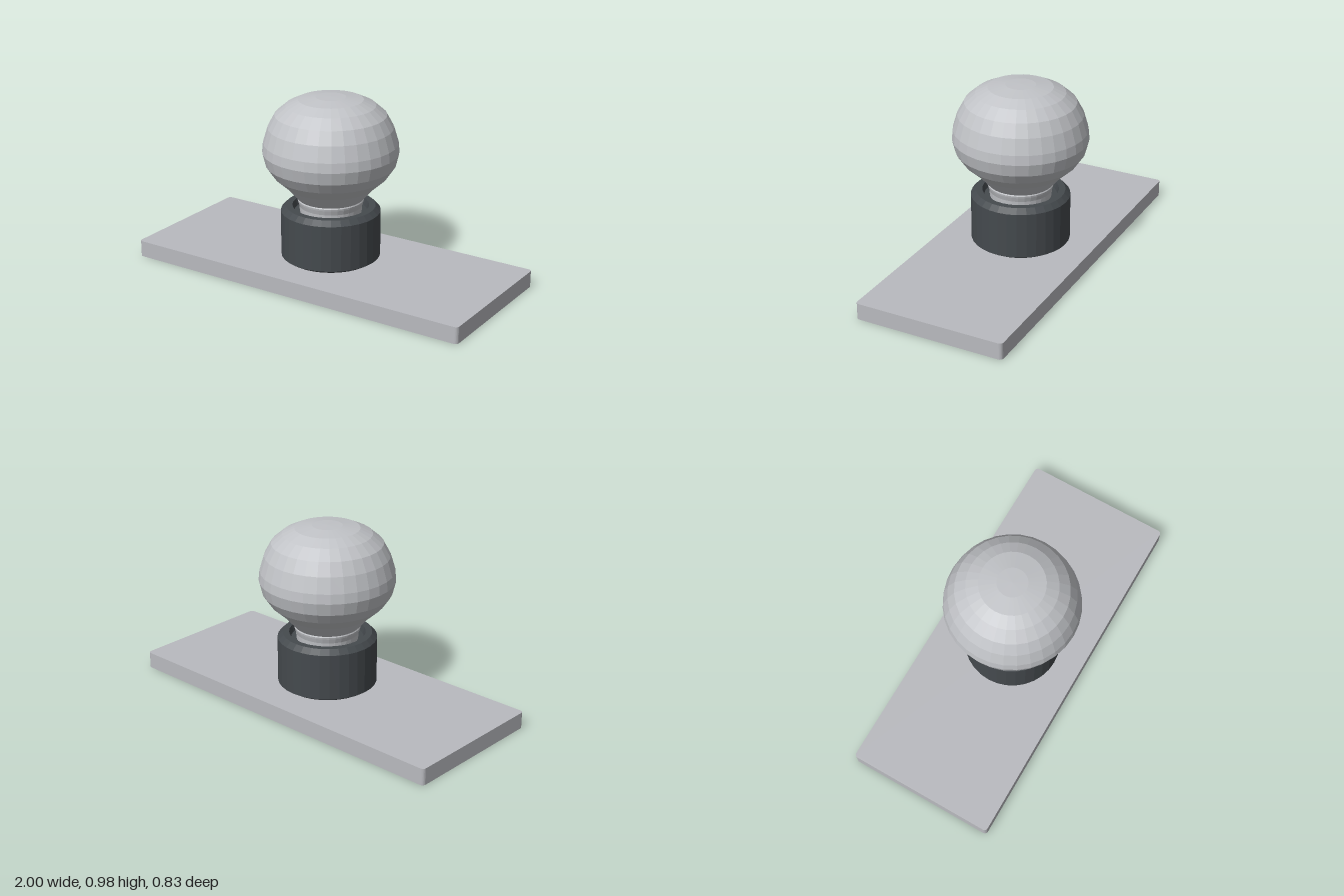
import * as THREE from 'three';

const mat = (name, color) => {
  const m = new THREE.MeshStandardMaterial({ color });
  m.name = name;
  return m;
};

// Faceted solid of revolution from [radius, height] pairs, listed bottom to top
function turned(name, profile, material, segments) {
  const points = profile.map(([r, y]) => new THREE.Vector2(r, y));
  const lathe = new THREE.LatheGeometry(points, segments);
  const geometry = lathe.toNonIndexed();
  geometry.computeVertexNormals();
  const mesh = new THREE.Mesh(geometry, material);
  mesh.name = name;
  return mesh;
}

export function createModel() {
  const group = new THREE.Group();
  group.name = 'knobOnPlate';
  const plateGrey = mat('plate grey', 0xb9babf);
  const knobGrey = mat('knob silver', 0xc1c3c7);
  const collarGrey = mat('collar charcoal', 0x454a4e);

  // Base plate with small rounded vertical corners
  const w = 1, d = 0.413, r = 0.02, h = 0.09;
  const outline = new THREE.Shape();
  outline.moveTo(-w + r, -d);
  outline.lineTo(w - r, -d);
  outline.absarc(w - r, -d + r, r, -Math.PI / 2, 0);
  outline.absarc(w - r, d - r, r, 0, Math.PI / 2);
  outline.absarc(-w + r, d - r, r, Math.PI / 2, Math.PI);
  outline.absarc(-w + r, -d + r, r, Math.PI, Math.PI * 1.5);
  const plateGeometry = new THREE.ExtrudeGeometry(outline, { depth: h, bevelEnabled: false, curveSegments: 4 });
  plateGeometry.rotateX(-Math.PI / 2);
  const plate = new THREE.Mesh(plateGeometry, plateGrey);
  plate.name = 'basePlate';
  group.add(plate);

  // Chamfered collar with a shallow recess around the neck
  group.add(turned('collar', [
    [0, 0.09], [0.24, 0.09], [0.267, 0.107], [0.267, 0.358], [0.24, 0.385],
    [0.205, 0.385], [0.195, 0.35], [0, 0.35],
  ], collarGrey, 32));

  // Bulbous knob with a short beaded neck
  group.add(turned('knob', [
    [0.165, 0.345], [0.168, 0.385], [0.176, 0.41], [0.178, 0.42], [0.175, 0.426],
    [0.237, 0.497], [0.305, 0.558], [0.345, 0.617], [0.362, 0.685], [0.357, 0.737],
    [0.332, 0.82], [0.295, 0.888], [0.237, 0.938], [0.172, 0.969], [0.08, 0.982], [0, 0.984],
  ], knobGrey, 32));

  return group;
}
